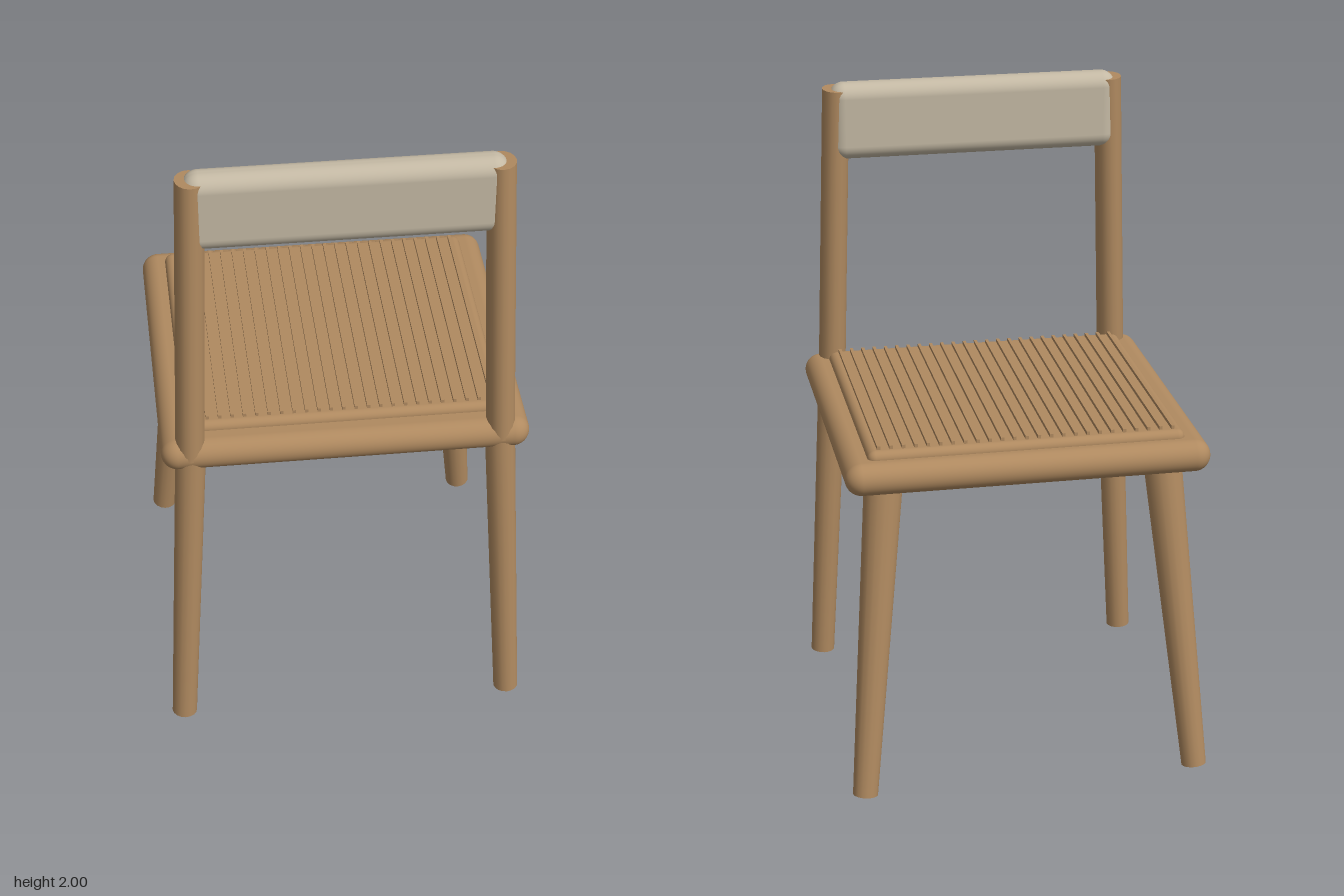
import * as THREE from 'three';
import { RoundedBoxGeometry } from 'three/addons/geometries/RoundedBoxGeometry.js';

export function createModel() {
  const chair = new THREE.Group();
  chair.name = 'chair';

  const wood = new THREE.MeshStandardMaterial({ color: 0xb08a60 });
  wood.name = 'warm wood';
  const linen = new THREE.MeshStandardMaterial({ color: 0xc4b9a4 });
  linen.name = 'pale linen';

  function add(name, geometry, material, x = 0, y = 0, z = 0) {
    const mesh = new THREE.Mesh(geometry, material);
    mesh.name = name;
    mesh.position.set(x, y, z);
    chair.add(mesh);
    return mesh;
  }

  // Tapered round rod from a lower point to an upper point
  function rod(name, from, to, rBottom, rTop, depthScale = 1) {
    const a = new THREE.Vector3(...from);
    const b = new THREE.Vector3(...to);
    const dir = b.clone().sub(a);
    const geometry = new THREE.CylinderGeometry(rTop, rBottom, dir.length(), 16);
    geometry.scale(1, 1, depthScale);
    const mesh = add(name, geometry, wood);
    mesh.position.copy(a).add(b).multiplyScalar(0.5);
    mesh.quaternion.setFromUnitVectors(new THREE.Vector3(0, 1, 0), dir.normalize());
  }

  // Seat frame with fully rounded edges, and the raised panel on it
  add('seatFrame', new RoundedBoxGeometry(1.11, 0.1, 1.05, 6, 0.05), wood, 0, 1.035, 0.01);
  add('seatPanel', new RoundedBoxGeometry(0.965, 0.05, 0.91, 4, 0.024), wood, 0, 1.084, 0);

  // Thin ribs running along the panel
  for (let i = -12; i <= 12; i++) {
    add('seatRib', new THREE.BoxGeometry(0.01, 0.018, 0.86), wood, i * 0.0373, 1.111, 0);
  }

  // Splayed legs and the posts that carry the backrest
  for (const [side, s] of [['left', 1], ['right', -1]]) {
    rod(side + 'PlainLeg', [s * 0.52, 0.008, -0.515], [s * 0.426, 1.02, -0.38], 0.039, 0.06);
    rod(side + 'BackrestLeg', [s * 0.52, 0.003, 0.52], [s * 0.467, 1.02, 0.488], 0.039, 0.046);
    rod(side + 'BackrestPost', [s * 0.468, 1.03, 0.484], [s * 0.438, 1.98, 0.456], 0.044, 0.043, 1.2);
  }

  // Backrest cushion
  add('backrest', new RoundedBoxGeometry(0.92, 0.245, 0.1, 6, 0.046), linen, 0, 1.8775, 0.452);

  return chair;
}
